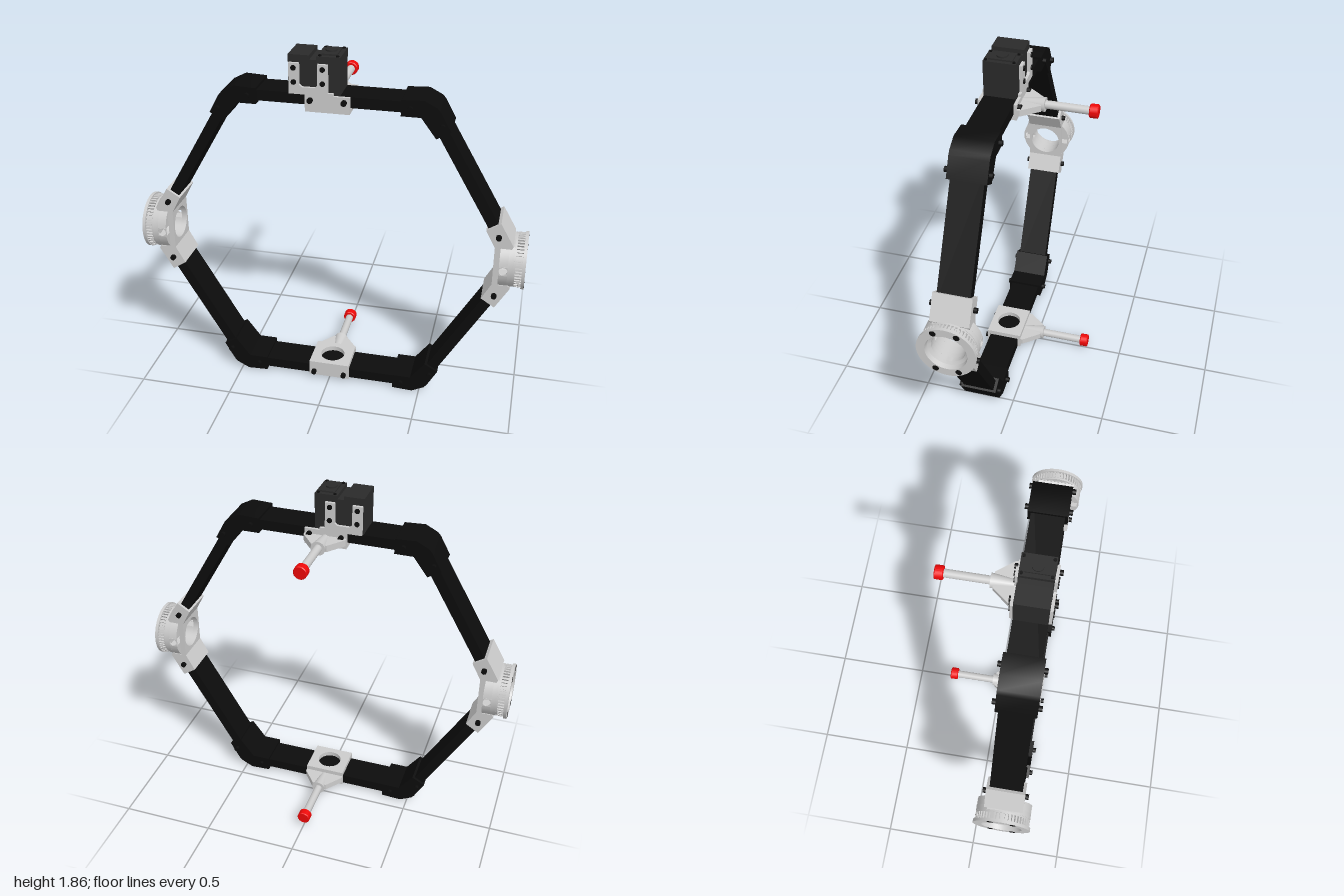
import * as THREE from 'three';
import { toCreasedNormals } from 'three/addons/utils/BufferGeometryUtils.js';

const mat = (color) => new THREE.MeshStandardMaterial({ color, side: THREE.DoubleSide });
const GREY = mat(0xcccccc), BLACK = mat(0x0c0c0c), DARK = mat(0x2a2a2a), RED = mat(0xee0808);
const HALF = 0.0975; // half depth of connectors
const V = (p) => new THREE.Vector2(p[0], p[1]);

function add(parent, name, geo, material, x = 0, y = 0, z = 0) {
  const m = new THREE.Mesh(geo, material);
  m.name = name;
  m.position.set(x, y, z);
  parent.add(m);
  return m;
}
const box = (parent, name, material, x0, x1, y0, y1, z0, z1) =>
  add(parent, name, new THREE.BoxGeometry(x1 - x0, y1 - y0, z1 - z0), material,
    (x0 + x1) / 2, (y0 + y1) / 2, (z0 + z1) / 2);

// Outline extruded along z from z0 to z1, with optional round holes [x, y, r]
function prism(pts, z0, z1, holes = []) {
  const s = new THREE.Shape(pts.map(V));
  for (const [x, y, r] of holes) s.holes.push(new THREE.Path().absarc(x, y, r, 0, Math.PI * 2, true));
  const g = new THREE.ExtrudeGeometry(s, { depth: z1 - z0, bevelEnabled: false, curveSegments: 20 });
  return toCreasedNormals(g.translate(0, 0, z0), 0.6);
}
const rect = (x0, x1, y0, y1) => [[x0, y0], [x1, y0], [x1, y1], [x0, y1]];
const alongX = (g) => g.rotateY(Math.PI / 2);
const rod = (r, len, n = 24) => new THREE.CylinderGeometry(r, r, len, n).rotateX(Math.PI / 2);

// Bolt heads on the front and back of a clamp
function bolt(parent, x, y) {
  for (const s of [-1, 1]) add(parent, 'bolt', rod(0.014, 0.024, 12), BLACK, x, y, s * (HALF + 0.006));
}

// Angled clamp joining two bars, upper left
function corner() {
  const g = new THREE.Group();
  g.name = 'cornerClamp';
  const pts = [[0.355, 0.753], [0.452, 0.753], [0.527, 0.652], [0.596, 0.692],
    [0.543, 0.788], [0.527, 0.806], [0.463, 0.839], [0.355, 0.834]];
  add(g, 'cornerBlock', prism(pts, -HALF, HALF), BLACK);
  bolt(g, 0.4, 0.794);
  bolt(g, 0.555, 0.717);
  return g;
}

// Part of a drum outline above y0, flattened at top, around the bore
function drumHalf(R, r, y0, top) {
  const pts = [], n = 20;
  const a = Math.asin(y0 / R), b = Math.asin(y0 / r);
  for (let i = 0; i <= n; i++) {
    const t = a + (Math.PI - 2 * a) * i / n;
    pts.push([R * Math.cos(t), Math.min(top, R * Math.sin(t))]);
  }
  for (let i = 0; i <= n; i++) {
    const t = Math.PI - b - (Math.PI - 2 * b) * i / n;
    pts.push([r * Math.cos(t), r * Math.sin(t)]);
  }
  return pts;
}

// Pivot mount with toothed flange on the +x side
function pivotMount() {
  const g = new THREE.Group();
  g.name = 'pivotMount';
  const bore = 0.085;
  for (const s of [-1, 1]) {
    const arm = [[0.864, 0.24], [0.794, 0.195], [0.842, 0.105], [0.925, 0.105], [0.933, 0.12]];
    add(g, 'mountArm', prism(arm.map(([x, y]) => [x, y * s]), -HALF, HALF), GREY);
    bolt(g, 0.858, 0.167 * s);
    // drum split around the cross hole
    const half = drumHalf(0.14, bore, 0.022, 0.115).map(([x, y]) => [x, y * s]);
    add(g, 'drumHalf', alongX(prism(half, 0.871, 0.915)), GREY);
    const ring = rect(0.871, 0.915, -0.024, 0.024);
    add(g, 'crossHole', prism(ring, s > 0 ? 0.13 : -0.14, s > 0 ? 0.14 : -0.13, [[0.893, 0, 0.0215]]), GREY);
  }
  const face = rect(-HALF, HALF, -0.107, 0.107);
  add(g, 'innerFace', alongX(prism(face, 0.842, 0.871, [[0, 0, bore]])), GREY);
  const drum = [];
  for (let i = 0; i < 40; i++) {
    const t = i * Math.PI / 20;
    drum.push([0.14 * Math.cos(t), THREE.MathUtils.clamp(0.14 * Math.sin(t), -0.115, 0.115)]);
  }
  add(g, 'drum', alongX(prism(drum, 0.915, 0.942, [[0, 0, bore]])), GREY);

  // flange with countersunk bore
  const prof = [[bore, 0.94], [0.138, 0.94], [0.138, 0.95], [0.128, 0.95], [0.128, 0.984],
    [0.147, 0.984], [0.147, 1], [0.105, 1], [0.1, 0.975], [bore, 0.965], [bore, 0.94]];
  const flange = new THREE.LatheGeometry(prof.map(V), 56).rotateZ(-Math.PI / 2);
  add(g, 'flange', toCreasedNormals(flange, 0.5), GREY);
  const n = 48;
  for (let i = 0; i < n; i++) {
    const t = i * 2 * Math.PI / n;
    const tooth = add(g, 'tooth', new THREE.BoxGeometry(0.034, 0.014, 0.008), GREY,
      0.967, 0.133 * Math.cos(t), 0.133 * Math.sin(t));
    tooth.rotation.x = t;
  }
  for (const y of [-0.113, 0.113]) for (const z of [-0.057, 0.057]) {
    add(g, 'flangeScrew', new THREE.CylinderGeometry(0.016, 0.016, 0.01, 16).rotateZ(Math.PI / 2), BLACK, 0.996, y, z);
  }
  return g;
}

// Saddle over the bar with a round window and a handle to the back
function saddle() {
  const g = new THREE.Group();
  g.name = 'saddle';
  const plate = prism(rect(-0.11, 0.11, -HALF, HALF), 0, 0.026, [[0, 0, 0.065]]).rotateX(-Math.PI / 2);
  add(g, 'windowPlate', plate, GREY, 0, 0.737, 0);
  for (const s of [-1, 1]) {
    box(g, 'saddleWall', GREY, -0.11, 0.11, 0.737, 0.822, s * 0.09 - 0.0075, s * 0.09 + 0.0075);
    bolt(g, s * 0.083, 0.797);
  }
  // tapering neck, boss, rod and cap
  const neck = [[-0.11, HALF - 0.005], [-0.11, 0.112], [-0.04, 0.2], [0.04, 0.2], [0.11, 0.112], [0.11, HALF - 0.005]];
  add(g, 'handleNeck', prism(neck, -0.017, 0.017).rotateX(-Math.PI / 2), GREY, 0, 0.778, 0);
  const boss = new THREE.CylinderGeometry(0.022, 0.037, 0.115, 24).rotateX(Math.PI / 2);
  add(g, 'handleBoss', boss, GREY, 0, 0.78, -0.157);
  add(g, 'handleRod', rod(0.021, 0.24), GREY, 0, 0.782, -0.33);
  const cap = [[0, -0.022], [0.031, -0.022], [0.035, -0.018], [0.035, 0.018], [0.031, 0.022], [0, 0.022]];
  const capGeo = toCreasedNormals(new THREE.LatheGeometry(cap.map(V), 24).rotateX(Math.PI / 2), 0.5);
  add(g, 'handleCap', capGeo, RED, 0, 0.782, -0.457);
  return g;
}

// Drive unit standing on the top bar, held by forked plates
function driveUnit() {
  const g = new THREE.Group();
  g.name = 'driveUnit';
  box(g, 'motorCore', DARK, -0.1, -0.05, 0.822, 0.99, -0.078, 0.078);
  box(g, 'motorLeftCase', DARK, -0.193, -0.09, 0.822, 1.012, -0.082, 0.082);
  box(g, 'motorRightCase', DARK, -0.055, 0.06, 0.822, 1.01, -0.082, 0.082);
  box(g, 'motorLid', DARK, -0.035, 0.04, 1.01, 1.018, -0.06, 0.06);
  add(g, 'motorHub', new THREE.CylinderGeometry(0.028, 0.028, 0.012, 24), DARK, 0, 1.02, 0);
  for (const [x, z] of [[-0.04, 0.07], [0.045, 0.07], [-0.04, -0.07], [0.045, -0.07]]) {
    add(g, 'lidScrew', new THREE.CylinderGeometry(0.008, 0.008, 0.008, 10), BLACK, x, 1.011, z);
  }
  const fork = [[-0.11, 0.8], [0.03, 0.8], [0.03, 0.835], [0.003, 0.835], [0.003, 0.975], [-0.047, 0.975],
    [-0.047, 0.87], [-0.06, 0.858], [-0.125, 0.858], [-0.137, 0.87], [-0.137, 0.975], [-0.188, 0.975],
    [-0.188, 0.822], [-0.11, 0.822]];
  for (const s of [-1, 1]) {
    add(g, 'forkPlate', prism(fork, s * 0.09 - 0.0075, s * 0.09 + 0.0075), GREY);
    for (const x of [-0.163, -0.022]) for (const y of [0.882, 0.952]) {
      add(g, 'forkScrew', rod(0.013, 0.01, 12), BLACK, x, y, s * 0.099);
    }
  }
  return g;
}

export function createModel() {
  const model = new THREE.Group();
  model.name = 'hexagonalRing';
  const frame = new THREE.Group();
  frame.name = 'frame';
  frame.position.set(0, 0.843, 0.168);
  model.add(frame);

  // Horizontal and slanted bars
  for (const s of [-1, 1]) {
    box(frame, 'horizontalBar', BLACK, -0.45, 0.45, s * 0.794 - 0.027, s * 0.794 + 0.027, -0.082, 0.082);
    for (const t of [-1, 1]) {
      const bar = add(frame, 'slantedBar', new THREE.BoxGeometry(0.054, 0.66, 0.164), BLACK, t * 0.69, s * 0.452, 0);
      bar.rotation.z = t * s * Math.PI / 6;
    }
  }
  // Corner clamps, pivot mounts and saddles by half turns
  for (const axis of [null, 'x', 'y', 'z']) {
    const c = corner();
    if (axis) c.rotation[axis] = Math.PI;
    frame.add(c);
  }
  for (const turn of [0, Math.PI]) {
    const m = pivotMount(), s = saddle();
    m.rotation.y = turn;
    s.rotation.z = turn;
    frame.add(m, s);
  }
  frame.add(driveUnit());
  return model;
}
